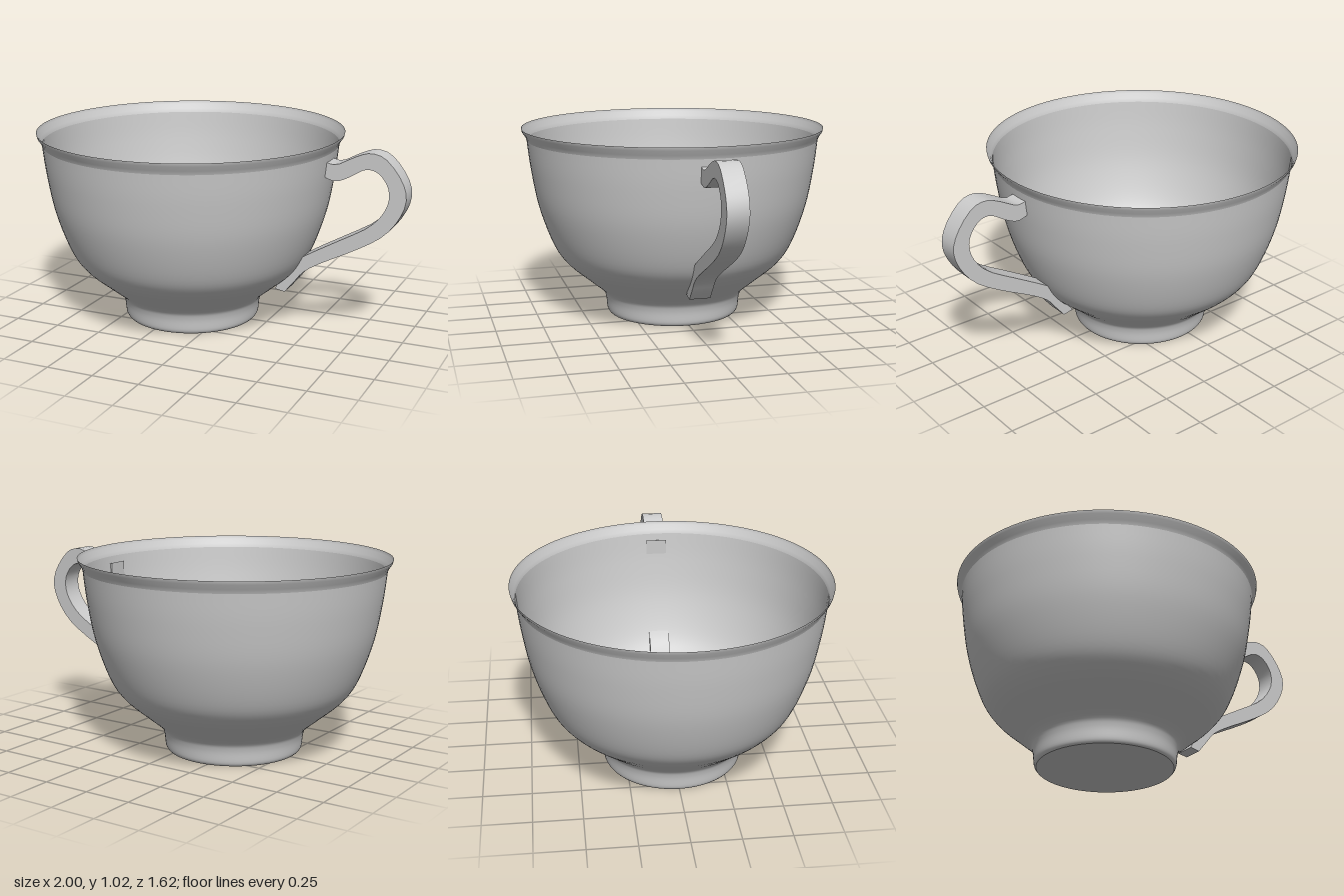
import * as THREE from 'three';
import { toCreasedNormals } from 'three/addons/utils/BufferGeometryUtils.js';

const CUP_X = -0.19;
const HANDLE_WIDTH = 0.11;
const material = new THREE.MeshStandardMaterial({ color: 0xcccccc, side: THREE.DoubleSide });

const vectors = (pairs) => pairs.map(([x, y]) => new THREE.Vector2(x, y));

function addMesh(group, name, geometry) {
  const mesh = new THREE.Mesh(geometry, material);
  mesh.name = name;
  group.add(mesh);
  return mesh;
}

export function createModel() {
  const group = new THREE.Group();
  group.name = 'teacup';

  // Thin bowl wall with a footed base and a slightly flared lip (radius, height)
  const wall = new THREE.SplineCurve(vectors([
    [0.35, 0], [0.362, 0.02], [0.37, 0.085], [0.392, 0.13], [0.475, 0.2], [0.585, 0.295],
    [0.655, 0.4], [0.725, 0.6], [0.763, 0.8], [0.782, 0.96],
  ])).getPoints(45);
  const bowl = addMesh(group, 'bowl', new THREE.LatheGeometry(wall, 96));
  bowl.position.x = CUP_X;

  const lipProfile = vectors([[0.782, 0.96], [0.789, 0.98], [0.806, 1.005], [0.81, 1.022]]);
  const lip = addMesh(group, 'lip', new THREE.LatheGeometry(lipProfile, 96));
  lip.position.x = CUP_X;

  // Flat floor closing the foot
  const floor = addMesh(group, 'floor', new THREE.CircleGeometry(0.35, 96).rotateX(Math.PI / 2));
  floor.position.x = CUP_X;

  // Flat strap handle: outer edge from top to bottom, then inner edge back up
  const outer = vectors([
    [0.575, 0.925], [0.635, 0.915], [0.73, 0.962], [0.81, 0.988], [0.89, 0.965], [0.97, 0.87],
    [1, 0.775], [0.97, 0.675], [0.89, 0.572], [0.755, 0.485], [0.57, 0.39], [0.475, 0.33],
    [0.42, 0.265], [0.37, 0.205],
  ]);
  const inner = vectors([
    [0.315, 0.215], [0.365, 0.3], [0.42, 0.375], [0.5, 0.43], [0.65, 0.515], [0.81, 0.608],
    [0.885, 0.69], [0.912, 0.765], [0.9, 0.835], [0.85, 0.893], [0.785, 0.903], [0.705, 0.857],
    [0.635, 0.829], [0.575, 0.845],
  ]);
  const outline = [outer, inner].flatMap((edge) => new THREE.SplineCurve(edge).getPoints(32));
  const strap = new THREE.ExtrudeGeometry(new THREE.Shape(outline), {
    depth: HANDLE_WIDTH, bevelEnabled: false,
  });
  strap.translate(0, 0, -HANDLE_WIDTH / 2);
  addMesh(group, 'handle', toCreasedNormals(strap, 0.6));

  return group;
}
